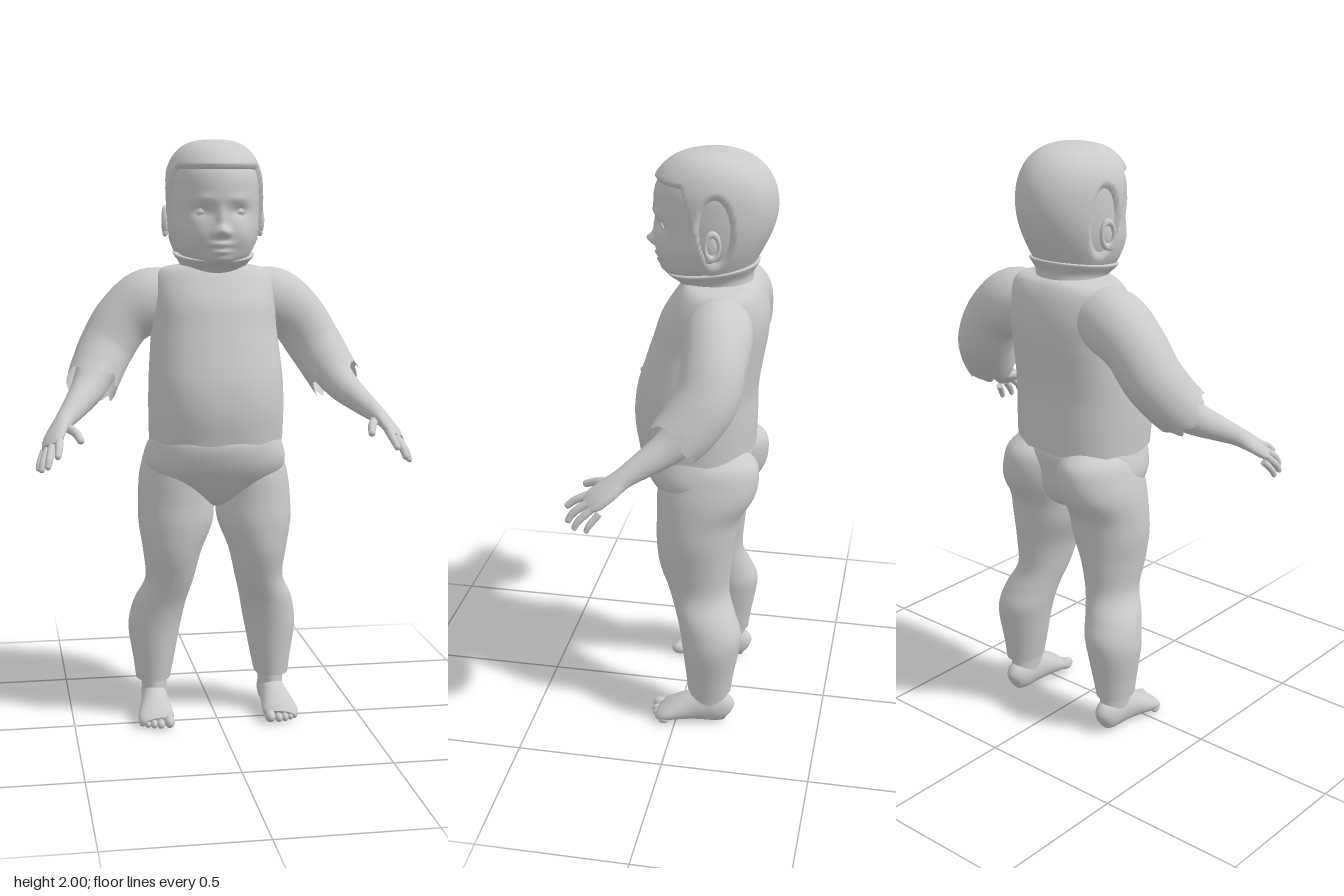
import * as THREE from 'three';

const mat = new THREE.MeshStandardMaterial({ color: 0xcccccc, side: THREE.DoubleSide });
const V = (x, y, z) => new THREE.Vector3(x, y, z);

function add(parent, name, geo) {
  const m = new THREE.Mesh(geo, mat);
  m.name = name;
  parent.add(m);
  return m;
}

function ball(parent, name, x, y, z, rx, ry = rx, rz = rx) {
  const m = add(parent, name, new THREE.SphereGeometry(1, 20, 14));
  m.position.set(x, y, z);
  m.scale.set(rx, ry, rz);
  return m;
}

// Smoothly fills in rows of numbers between the given ones
function refine(rows, steps) {
  const out = [], n = rows.length;
  for (let i = 0; i < n - 1; i++) {
    const [p, a, b, q] = [rows[Math.max(i - 1, 0)], rows[i], rows[i + 1], rows[Math.min(i + 2, n - 1)]];
    for (let s = 0; s < steps; s++) {
      const t = s / steps;
      out.push(a.map((v, k) => v + 0.5 * t * (b[k] - p[k] + t * (2 * p[k] - 5 * v + 4 * b[k] - q[k]
        + t * (3 * (v - b[k]) + q[k] - p[k])))));
    }
  }
  out.push(rows[n - 1]);
  return out;
}

// Skins a list of rings; capped ends keep a sharp rim
function skin(rings, capped) {
  const seg = rings[0].length;
  if (capped) {
    const centre = (r) => {
      const c = r.reduce((s, v) => s.add(v), V(0, 0, 0)).divideScalar(seg);
      return r.map(() => c);
    };
    const first = rings[0], last = rings[rings.length - 1];
    rings = [centre(first), first, ...rings, last, centre(last)];
  }
  const pos = [], index = [];
  rings.forEach((r, i) => r.forEach((v, j) => {
    pos.push(v.x, v.y, v.z);
    if (i + 1 < rings.length) {
      const k = (j + 1) % seg, a = i * seg, b = a + seg;
      index.push(a + j, a + k, b + k, a + j, b + k, b + j);
    }
  }));
  const g = new THREE.BufferGeometry();
  g.setAttribute('position', new THREE.Float32BufferAttribute(pos, 3));
  g.setIndex(index);
  g.computeVertexNormals();
  return g;
}

// Upright body from level sections [y, centreX, halfWidth, backZ, frontZ]
function loft(rows, { seg = 48, steps = 6, n = 2, warp, capped = true } = {}) {
  const pw = (v) => Math.sign(v) * Math.abs(v) ** (2 / n);
  return skin(refine(rows, steps).map(([y, cx, rx, zb, zf]) =>
    Array.from({ length: seg }, (_, j) => {
      const a = j / seg * Math.PI * 2;
      const v = V(cx + rx * pw(Math.sin(a)), y, (zb + zf) / 2 + (zf - zb) / 2 * pw(Math.cos(a)));
      if (warp) warp(v, a);
      return v;
    })), capped);
}

// Limb along a path of [x, y, z, radius across, radius through]
function sweep(rows, across = V(1, 0, 0), { seg = 28, steps = 6, warp, capped = true } = {}) {
  const r = refine(rows, steps), p = r.map((q) => V(q[0], q[1], q[2]));
  return skin(r.map((q, i) => {
    const t = p[Math.min(i + 1, p.length - 1)].clone().sub(p[Math.max(i - 1, 0)]).normalize();
    const A = across.clone().addScaledVector(t, -across.dot(t)).normalize();
    const B = A.clone().cross(t);
    return Array.from({ length: seg }, (_, j) => {
      const a = j / seg * Math.PI * 2;
      const v = p[i].clone().addScaledVector(A, q[3] * Math.sin(a)).addScaledVector(B, q[4] * Math.cos(a));
      if (warp) v.addScaledVector(t, warp(a, i / (p.length - 1)));
      return v;
    });
  }), capped);
}

const skull = [
  [1.56, 0, 0.085, -0.19, 0.0], [1.6, 0, 0.105, -0.195, 0.07], [1.64, 0, 0.128, -0.205, 0.09],
  [1.7, 0, 0.146, -0.235, 0.1], [1.76, 0, 0.151, -0.262, 0.102], [1.82, 0, 0.152, -0.275, 0.11],
  [1.88, 0, 0.148, -0.268, 0.104], [1.93, 0, 0.13, -0.242, 0.075], [1.965, 0, 0.098, -0.198, 0.03],
  [1.982, 0, 0.055, -0.14, -0.03], [1.986, 0, 0.002, -0.085, -0.081]];

// Face relief: [x, y, width, height, depth], mirrored in x
const relief = [
  [0, 1.7, 0.02, 0.018, 0.033], [0, 1.74, 0.016, 0.035, 0.012], [0.021, 1.693, 0.011, 0.011, 0.012],
  [0.062, 1.764, 0.032, 0.019, -0.016], [0, 1.657, 0.034, 0.009, 0.015], [0, 1.633, 0.03, 0.01, 0.013],
  [0, 1.605, 0.035, 0.018, 0.012], [0.075, 1.685, 0.04, 0.04, 0.012], [0.055, 1.805, 0.035, 0.014, 0.006]];

function shapeFace(v) {
  if (v.z < 0) return;
  const x = Math.abs(v.x), y = v.y;
  for (const [bx, by, sx, sy, d] of relief) v.z += d * Math.exp(-(((x - bx) / sx) ** 2) - ((y - by) / sy) ** 2);
}

// Hair stands off the skull, and sinks below it over the face and round the ears
function shapeHair(v) {
  const hairline = -0.085 + (v.y - 1.63) * 0.31;
  let d = Math.max(v.y - 1.9, hairline - v.z);
  const hole = Math.hypot((v.y - 1.775) / 0.1, (v.z + 0.11) / 0.047) - 1;
  if (Math.abs(v.x) > 0.08) d = Math.min(d, hole * 0.05);
  const out = V(v.x, v.y - 1.8, v.z + 0.08).normalize();
  v.addScaledVector(out, -0.02 + 0.035 * THREE.MathUtils.smoothstep(d, -0.008, 0.008));
}

function buildHead() {
  const head = new THREE.Group();
  head.name = 'head';
  add(head, 'face', loft(skull, { seg: 128, steps: 10, warp: shapeFace }));
  add(head, 'hair', loft(skull.slice(1), { seg: 128, steps: 10, warp: shapeHair }));
  for (const s of [1, -1]) {
    ball(head, 'eye', s * 0.062, 1.762, 0.064, 0.021, 0.012, 0.013);
    for (const up of [1, -1]) {
      const lid = add(head, 'eyelid', new THREE.TorusGeometry(0.023, 0.0035, 8, 20, Math.PI));
      lid.position.set(s * 0.062, 1.762, 0.073);
      lid.rotation.y = s * 0.35;
      lid.scale.y = up * 0.5;
    }
    const ear = new THREE.Group();
    ear.name = 'ear';
    add(ear, 'earRim', new THREE.TorusGeometry(0.033, 0.01, 12, 28)).scale.set(0.68, 1.2, 1);
    ball(ear, 'earBowl', 0, 0, -0.008, 0.024, 0.038, 0.01);
    ball(ear, 'earLobe', s * -0.008, -0.04, 0, 0.014, 0.014, 0.009);
    ear.position.set(s * 0.16, 1.732, -0.105);
    ear.rotation.set(0, s * (Math.PI / 2 + 0.3), 0);
    head.add(ear);
  }
  return head;
}

function buildArm() {
  const arm = new THREE.Group();
  arm.name = 'arm';
  // Sleeve with a torn cuff
  add(arm, 'sleeve', sweep([
    [0.1, 1.47, -0.13, 0.09, 0.09], [0.21, 1.46, -0.135, 0.112, 0.11], [0.3, 1.4, -0.138, 0.1, 0.104],
    [0.36, 1.31, -0.125, 0.095, 0.102], [0.4, 1.235, -0.08, 0.09, 0.098], [0.422, 1.19, -0.042, 0.087, 0.092]],
  V(1, 0.6, 0), { seg: 56, capped: false,
    warp: (a, t) => Math.max(0, t - 0.85) / 0.15 * (0.012 * Math.sin(3 * a) + 0.009 * Math.sin(8 * a + 1) + 0.006 * Math.sin(13 * a)) }));
  // Forearm running into the flat palm
  const across = V(0.75, -0.5, -0.35);
  add(arm, 'forearmAndPalm', sweep([
    [0.37, 1.28, -0.1, 0.075, 0.075], [0.405, 1.225, -0.075, 0.068, 0.068], [0.44, 1.17, -0.02, 0.056, 0.056],
    [0.49, 1.12, 0.06, 0.041, 0.041], [0.523, 1.09, 0.11, 0.034, 0.031], [0.55, 1.062, 0.15, 0.042, 0.022],
    [0.567, 1.035, 0.185, 0.043, 0.019], [0.576, 1.02, 0.207, 0.034, 0.012]], across));
  const fingers = [
    [[0.52, 1.07, 0.125], [0.493, 1.06, 0.19], [0.48, 1.042, 0.234], 0.014],
    [[0.545, 1.045, 0.195], [0.55, 1.02, 0.25], [0.555, 1.0, 0.276], 0.0125],
    [[0.567, 1.03, 0.198], [0.58, 0.992, 0.25], [0.587, 0.966, 0.268], 0.0125],
    [[0.583, 1.015, 0.187], [0.6, 0.975, 0.23], [0.606, 0.952, 0.244], 0.0115],
    [[0.595, 1.0, 0.168], [0.61, 0.967, 0.195], [0.614, 0.949, 0.204], 0.0105]];
  fingers.forEach(([a, b, c, r], i) => {
    const name = i ? 'finger' : 'thumb';
    add(arm, name, sweep([[...a, r * 1.1, r * 1.1], [...b, r, r], [...c, r * 0.85, r * 0.85]], across, { seg: 14, steps: 5 }));
    ball(arm, name + 'Tip', ...c, r * 0.87);
  });
  return arm;
}

function buildLeg() {
  const leg = new THREE.Group();
  leg.name = 'leg';
  add(leg, 'trouserLeg', loft([
    [0.13, 0.213, 0.06, -0.19, -0.04], [0.2, 0.21, 0.072, -0.2, -0.032], [0.3, 0.208, 0.089, -0.218, -0.02],
    [0.36, 0.2, 0.093, -0.221, -0.01], [0.42, 0.186, 0.091, -0.2, 0.005], [0.5, 0.158, 0.084, -0.173, 0.035],
    [0.6, 0.15, 0.1, -0.178, 0.07], [0.7, 0.138, 0.127, -0.19, 0.082], [0.78, 0.134, 0.131, -0.205, 0.08],
    [0.86, 0.13, 0.129, -0.25, 0.08], [0.93, 0.12, 0.122, -0.262, 0.075], [0.98, 0.115, 0.107, -0.25, 0.06],
    [1.02, 0.11, 0.07, -0.2, 0.03]]));
  // Ankle, foot and toes
  add(leg, 'ankle', loft([[0.05, 0.21, 0.04, -0.18, -0.04], [0.1, 0.21, 0.043, -0.178, -0.045], [0.16, 0.21, 0.05, -0.185, -0.05]]));
  add(leg, 'foot', sweep([
    [0.21, 0.045, -0.193, 0.012, 0.02], [0.21, 0.05, -0.182, 0.03, 0.045], [0.21, 0.058, -0.15, 0.041, 0.058],
    [0.211, 0.06, -0.1, 0.044, 0.06], [0.213, 0.053, -0.05, 0.049, 0.053], [0.217, 0.04, 0, 0.058, 0.04],
    [0.219, 0.028, 0.038, 0.062, 0.028], [0.216, 0.02, 0.06, 0.05, 0.017]]));
  const toes = [[0.177, 0.066, 0.021], [0.207, 0.07, 0.016], [0.23, 0.064, 0.015], [0.25, 0.054, 0.0145], [0.268, 0.04, 0.014]];
  for (const [x, z, r] of toes) ball(leg, 'toe', x, r, z, r * 0.85, r, r * 1.35);
  return leg;
}

export function createModel() {
  const model = new THREE.Group();
  model.name = 'toddler';
  model.add(buildHead());

  // Turtleneck collar, lower at the front
  add(model, 'collar', loft([
    [1.555, 0, 0.112, -0.215, 0.0], [1.59, 0, 0.115, -0.215, 0.03], [1.625, 0, 0.138, -0.235, 0.07],
    [1.628, 0, 0.12, -0.215, 0.045]], { capped: false, warp: (v) => { v.y -= (v.z + 0.1) * 0.15; } }));

  // Shirt with a slightly wavy hem
  add(model, 'shirt', loft([
    [1.0, 0, 0.228, -0.232, 0.16], [1.1, 0, 0.23, -0.235, 0.174], [1.2, 0, 0.228, -0.236, 0.166],
    [1.3, 0, 0.22, -0.25, 0.137], [1.38, 0, 0.213, -0.264, 0.11], [1.46, 0, 0.212, -0.269, 0.083],
    [1.53, 0, 0.205, -0.255, 0.04], [1.57, 0, 0.178, -0.235, 0.012], [1.585, 0, 0.11, -0.215, 0]],
  { seg: 72, n: 2.25, warp: (v, a) => { if (v.y < 1.01) v.y += 0.004 * Math.sin(9 * a); } }));

  add(model, 'trouserSeat', loft([
    [0.765, 0, 0.02, -0.1, 0.01], [0.8, 0, 0.1, -0.17, 0.058], [0.86, 0, 0.21, -0.205, 0.105],
    [0.92, 0, 0.24, -0.215, 0.14], [0.99, 0, 0.225, -0.225, 0.154], [1.04, 0, 0.2, -0.19, 0.13]], { n: 2.1 }));

  // Limbs, mirrored
  for (const [side, s] of [['left', 1], ['right', -1]]) {
    for (const [part, build] of [['Arm', buildArm], ['Leg', buildLeg]]) {
      const limb = build();
      limb.name = side + part;
      limb.scale.x = s;
      model.add(limb);
    }
  }
  return model;
}
